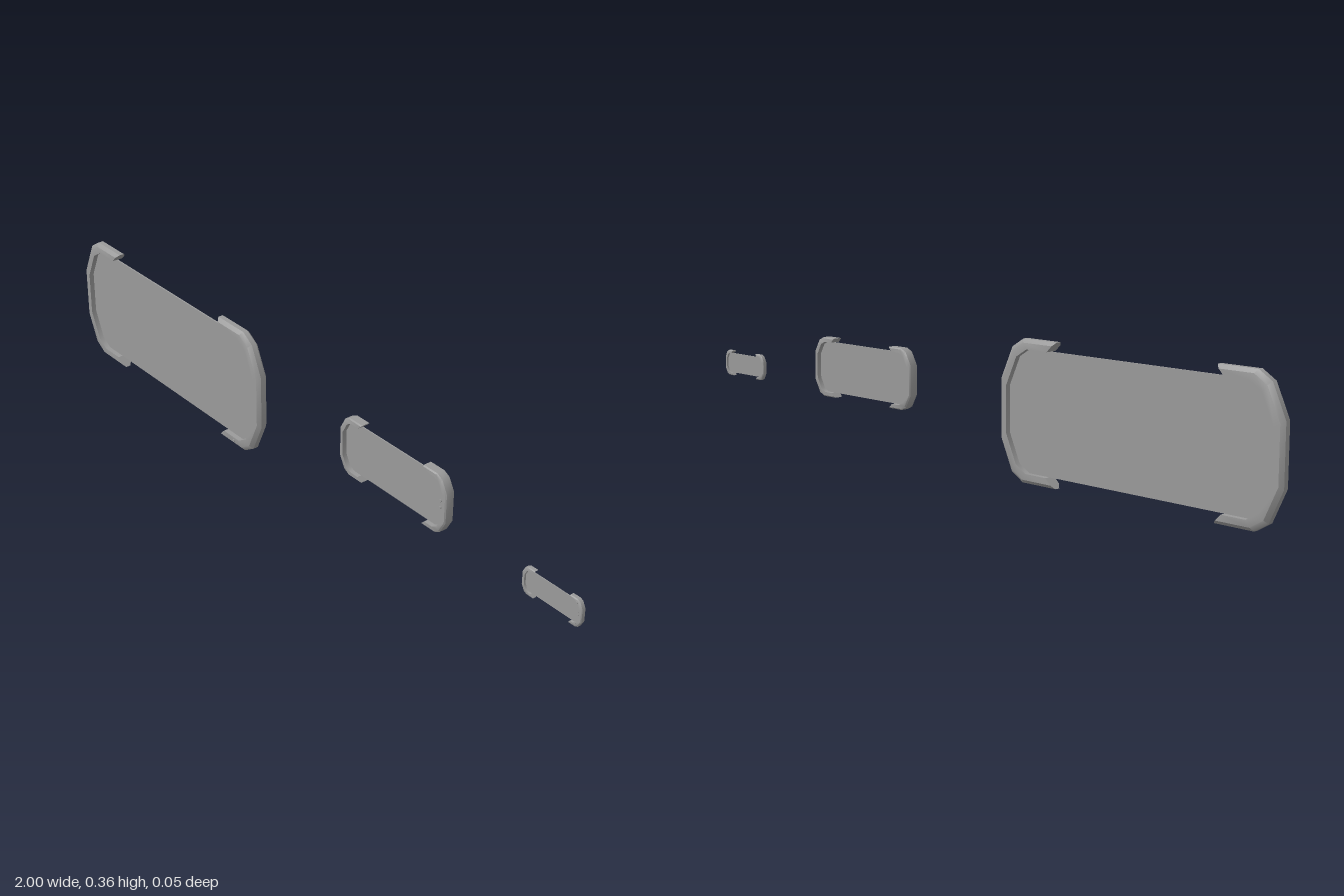
import * as THREE from 'three';
import { toCreasedNormals } from 'three/addons/utils/BufferGeometryUtils.js';

const material = new THREE.MeshStandardMaterial({ color: 0x9a9a9a });

function add(group, name, geometry, x = 0, y = 0, z = 0) {
  const mesh = new THREE.Mesh(geometry, material);
  mesh.name = name;
  mesh.position.set(x, y, z);
  group.add(mesh);
}

// Outline of the end facing +x, from the top edge round both corners to the bottom edge
function endOutline(hw, hh, cx, cy) {
  const top = [[hw - cx, hh], [hw - cx * 0.5, hh - cy * 0.22], [hw, hh - cy]];
  return [...top, ...top.map(([x, y]) => [x, -y]).reverse()];
}

function slab(points, depth) {
  const shape = new THREE.Shape(points.map(([x, y]) => new THREE.Vector2(x, y)));
  const geometry = new THREE.ExtrudeGeometry(shape, { depth, bevelEnabled: false });
  return geometry.translate(0, 0, -depth / 2);
}

// Loft a chamfered section between matching inner and outer outline points
function frameGeometry(inner, outer, t, d, bevel) {
  const h = d / 2, k = 1 - bevel / t;
  const section = [[0, h], [k, h], [1, h - bevel], [1, bevel - h], [k, -h], [0, -h]];
  const n = section.length, last = (outer.length - 1) * n;
  const positions = [], index = [];
  outer.forEach(([ox, oy], i) => {
    const [ix, iy] = inner[i];
    for (const [s, z] of section) positions.push(ix + (ox - ix) * s, iy + (oy - iy) * s, z);
  });
  for (let a = 0; a < last; a += n) {
    for (let j = 0; j < n; j++) {
      const p = a + j, q = a + (j + 1) % n;
      index.push(p, p + n, q, q, p + n, q + n);
    }
  }
  // Close both arm tips
  for (let j = 1; j < n - 1; j++) index.push(0, j, j + 1, last, last + j + 1, last + j);
  const geometry = new THREE.BufferGeometry();
  geometry.setAttribute('position', new THREE.Float32BufferAttribute(positions, 3));
  geometry.setIndex(index);
  // Make the faces point outwards whichever way the loft runs
  const p = geometry.attributes.position;
  const a = new THREE.Vector3(), b = new THREE.Vector3(), c = new THREE.Vector3();
  let volume = 0;
  for (let i = 0; i < index.length; i += 3) {
    a.fromBufferAttribute(p, index[i]);
    b.fromBufferAttribute(p, index[i + 1]);
    c.fromBufferAttribute(p, index[i + 2]);
    volume += a.dot(b.cross(c));
  }
  if (volume < 0) geometry.setIndex(index.reverse());
  return toCreasedNormals(geometry, 0.7);
}

function createScreen(d) {
  const group = new THREE.Group();
  group.name = d.name;
  const hw = d.w / 2, hh = d.h / 2, t = d.t;
  const tip = hw - d.arm;
  const outer = [[tip, hh], ...endOutline(hw, hh, d.cx, d.cy), [tip, -hh]];
  const innerEnd = endOutline(hw - t, hh - t, d.cx - t * 0.3, d.cy - t * 0.4);
  const inner = [[tip + t, hh - t], ...innerEnd, [tip + t, t - hh]];

  // Thin panel following the inside of both end frames
  const panel = [...innerEnd, ...innerEnd.map(([x, y]) => [-x, y]).reverse()];
  add(group, 'panel', slab(panel, d.panel));

  // C-shaped chamfered frame with slanted arm tips, one at each end
  add(group, 'leftFrame', frameGeometry(inner, outer, t, d.d, d.bevel));
  add(group, 'rightFrame', frameGeometry(inner, outer, t, d.d, d.bevel).rotateZ(Math.PI));

  // Control plate and buttons on the front of one end
  if (d.plate) {
    const x = hw - d.plate;
    const plate = [[x, hh - t * 1.8], ...innerEnd.slice(1, -1), [x, t * 1.8 - hh]];
    add(group, 'controlPlate', slab(plate, d.d * 0.2), 0, 0, d.d * 0.1);
    const r = d.h * 0.025;
    for (const y of [-0.06, 0.06]) {
      const button = new THREE.CylinderGeometry(r, r, d.d * 0.1, 8).rotateX(Math.PI / 2);
      add(group, 'button', button, hw - d.plate * 0.65, y * d.h, d.d * 0.24);
    }
  }

  // Small studs on the front of the frame
  for (const [x, y] of d.studs) {
    const stud = new THREE.CylinderGeometry(d.stud, d.stud, d.stud, 8).rotateX(Math.PI / 2);
    add(group, 'stud', stud, x, y, d.d / 2 + d.stud * 0.2);
  }
  group.position.set(d.x, d.y, d.z);
  return group;
}

export function createModel() {
  const model = new THREE.Group();
  model.name = 'threeScreens';
  const screens = [
    { name: 'largeScreen', x: -0.575, y: 0.18, z: 0.0055, w: 0.85, h: 0.36, d: 0.032, t: 0.025,
      cx: 0.075, cy: 0.105, arm: 0.185, bevel: 0.009, panel: 0.004, studs: [[0.31, -0.165]], stud: 0.004 },
    { name: 'mediumScreen', x: 0.359, y: 0.213, z: -0.0095, w: 0.39, h: 0.164, d: 0.028, t: 0.012,
      cx: 0.036, cy: 0.042, arm: 0.083, bevel: 0.003, panel: 0.003, plate: 0.04, studs: [], stud: 0 },
    { name: 'smallScreen', x: 0.9085, y: 0.174, z: 0.005, w: 0.183, h: 0.074, d: 0.013, t: 0.008,
      cx: 0.016, cy: 0.02, arm: 0.038, bevel: 0.002, panel: 0.002, plate: 0.02,
      studs: [[0.075, 0.028], [0.075, -0.026]], stud: 0.003 },
  ];
  for (const screen of screens) model.add(createScreen(screen));
  return model;
}
